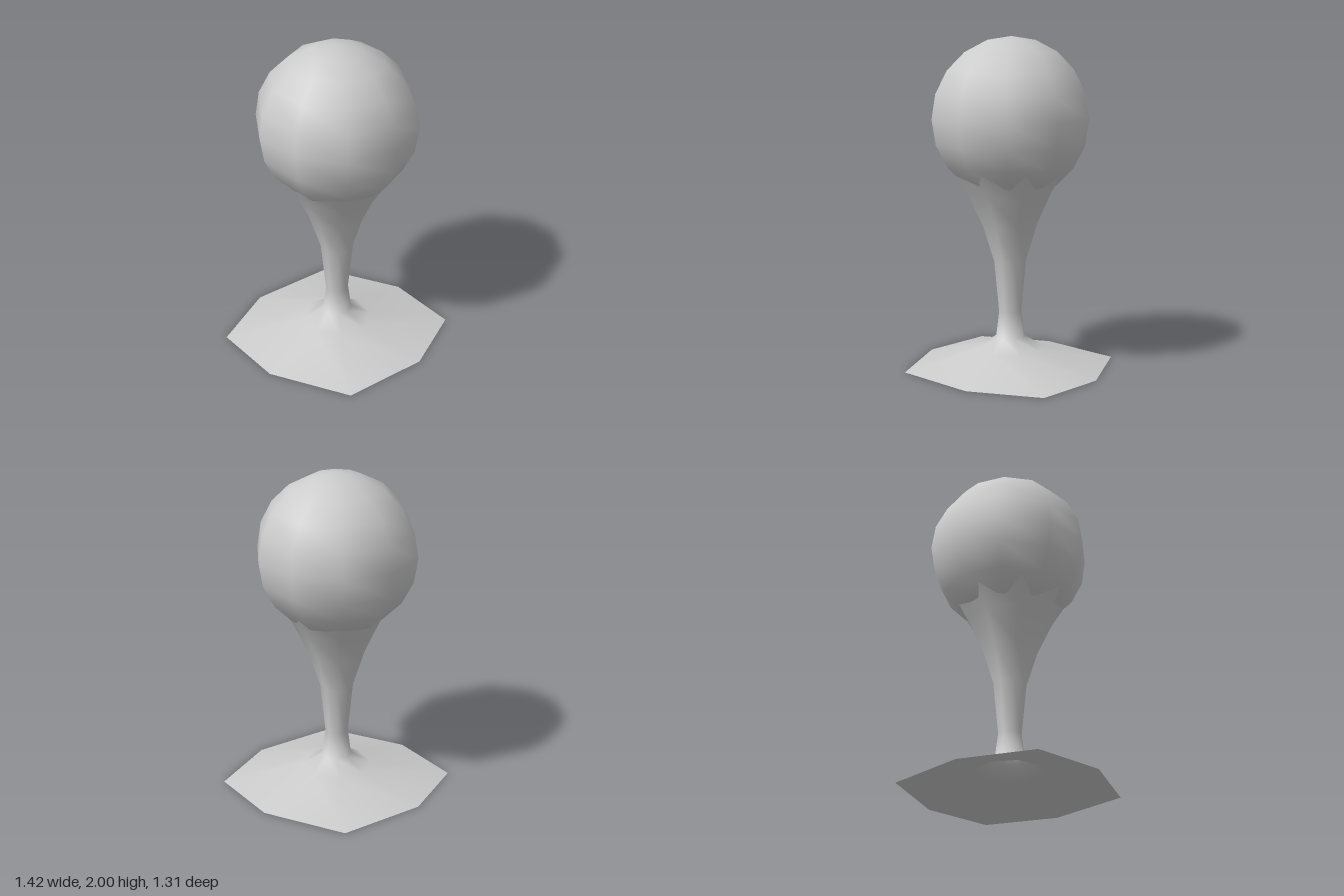
import * as THREE from 'three';
import { mergeVertices } from 'three/addons/utils/BufferGeometryUtils.js';

const SIDES = 8;

// Join the seam so that the smooth shading runs all the way round
function smooth(geometry) {
  geometry.deleteAttribute('uv');
  geometry.deleteAttribute('normal');
  const joined = mergeVertices(geometry, 1e-4);
  joined.computeVertexNormals();
  return joined;
}

export function createModel() {
  const model = new THREE.Group();
  const material = new THREE.MeshStandardMaterial({ color: 0xcccccc });
  const openMaterial = new THREE.MeshStandardMaterial({ color: 0xcccccc, side: THREE.DoubleSide });

  // Eight-sided stand: wide open foot, narrow stem and flared cup
  const profile = [
    [0.71, 0], [0.21, 0.11], [0.09, 0.18], [0.07, 0.34],
    [0.10, 0.65], [0.17, 0.87], [0.26, 1.06], [0.354, 1.21],
  ].map(([r, y]) => new THREE.Vector2(r, y));
  const standGeometry = new THREE.LatheGeometry(profile, SIDES);

  // The foot's rim is slightly uneven: narrower in depth and at the diagonals
  const position = standGeometry.attributes.position;
  for (let i = 0; i < position.count; i++) {
    if (position.getY(i) > 0.01) continue;
    const x = position.getX(i), z = position.getZ(i);
    const diagonal = Math.abs(x) > 0.1 && Math.abs(z) > 0.1;
    position.setX(i, diagonal ? Math.sign(x) * 0.467 : x);
    position.setZ(i, diagonal ? Math.sign(z) * 0.393 : z * 0.923);
  }
  const stand = new THREE.Mesh(smooth(standGeometry), openMaterial);
  stand.name = 'stand';
  model.add(stand);

  // Ball resting in the cup, with its corners towards front and back
  const ball = new THREE.Mesh(smooth(new THREE.SphereGeometry(0.485, 10, 10)), material);
  ball.name = 'ball';
  ball.rotation.y = Math.PI / 2;
  ball.position.set(0, 1.515, -0.006);
  model.add(ball);

  return model;
}
